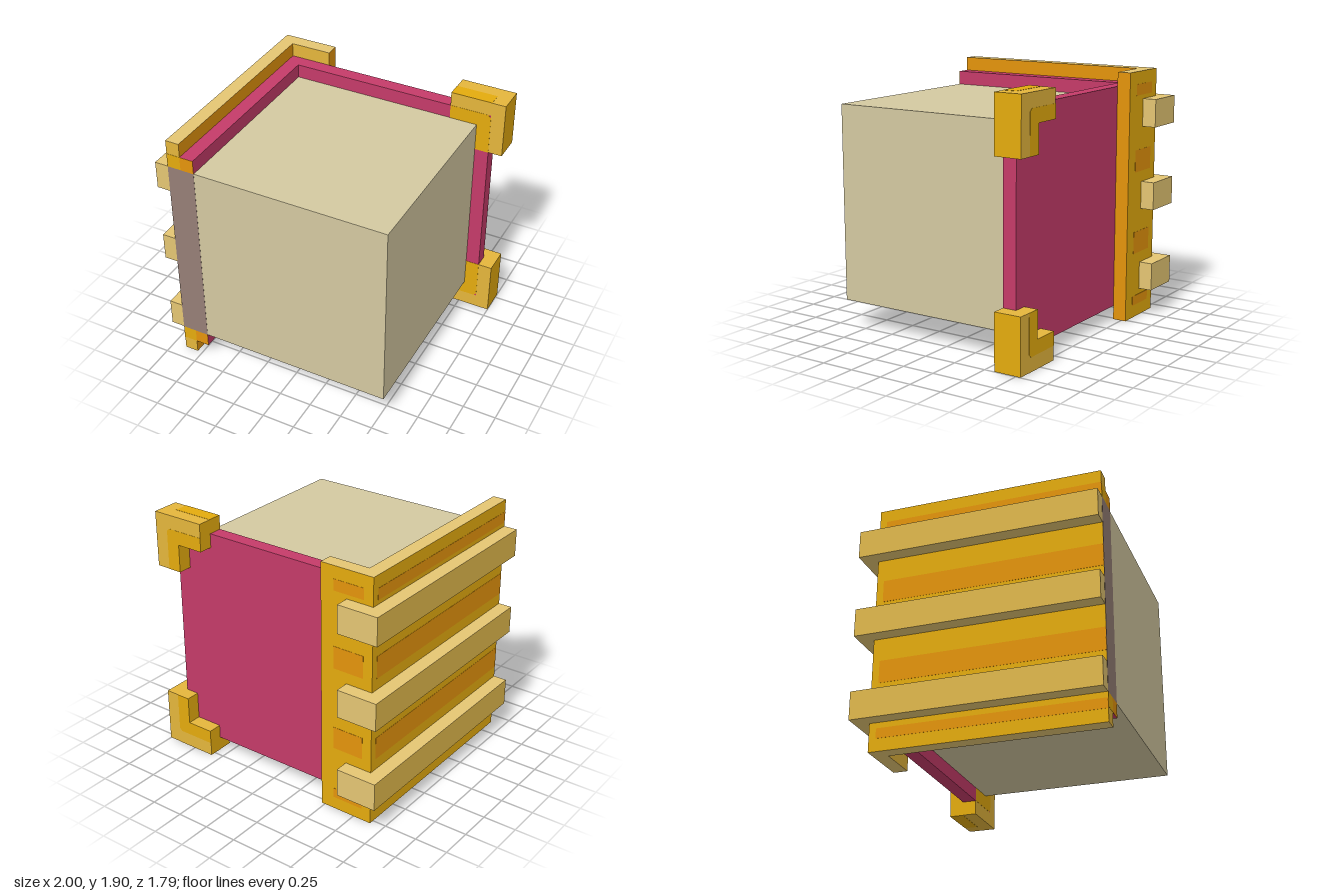
import * as THREE from 'three';

const U = 2 / 19; // one grid unit of the blocky design
const mat = (name, color) => Object.assign(new THREE.MeshStandardMaterial({ color }), { name });

export function createModel() {
  const pages = mat('pages', 0xd4c9a1);
  const cover = mat('cover', 0xc53b69);
  const paleGold = mat('paleGold', 0xe5c673);
  const ribGold = mat('ribGold', 0xe0b84c);
  const gold = mat('gold', 0xe5b63c);
  const deepGold = mat('deepGold', 0xe4ab0e);
  const orange = mat('orange', 0xe4940c);
  const endGrey = mat('endGrey', 0x967f76);

  const root = new THREE.Group();
  root.name = 'book';

  // Box between two corners; x and z in units from the centre, y from the floor
  const box = (name, material, [x0, x1], [y0, y1], [z0, z1], parent = root) => {
    const mesh = new THREE.Mesh(
      new THREE.BoxGeometry((x1 - x0) * U, (y1 - y0) * U, (z1 - z0) * U), material);
    mesh.position.set((x0 + x1) / 2 * U, (y0 + y1) / 2 * U, (z0 + z1) / 2 * U);
    mesh.name = name;
    parent.add(mesh);
  };

  // Page block and the two cover boards
  box('pageBlock', pages, [-6.5, 7.5], [2, 16], [-5.5, 8.5]);
  box('backCover', cover, [-7.5, 8.5], [1, 17], [-6.5, -5.5]);
  box('spineCover', cover, [-7.5, -6.5], [1, 17], [-5.5, 8.5]);

  // Metal spine with its return along the back
  box('spinePlate', [orange, deepGold, paleGold, paleGold, gold, deepGold],
    [-8.5, -7.5], [0, 18], [-7.5, 8.5]);
  box('spineReturn', [orange, gold, paleGold, paleGold, gold, deepGold],
    [-7.5, -4.5], [0, 18], [-7.5, -6.5]);

  // Front ends of the spine and cover
  const T = 0.015;
  box('spineEnd', endGrey, [-8.5, -6.5], [2, 16], [8.5, 8.5 + T]);
  for (const y of [1, 16]) {
    box('coverEnd', orange, [-7.5, -6.5], [y, y + 1], [8.5, 8.5 + T]);
    box('plateEnd', deepGold, [-8.5, -7.5], [y, y + 1], [8.5, 8.5 + T]);
  }

  // Raised ribs wrapping round the spine
  const ribFaces = [paleGold, ribGold, paleGold, paleGold, paleGold, paleGold];
  for (const y of [2, 8, 14]) {
    box('spineRib', ribFaces, [-9.5, -8.5], [y, y + 2], [-8.5, 8.5]);
    box('ribReturn', paleGold, [-8.5, -6.5], [y, y + 2], [-8.5, -7.5]);
  }

  // Tarnished bands between the ribs
  for (const [y0, y1] of [[0.9, 1.6], [4.8, 6.4], [10.8, 12.4], [16.3, 17.1]]) {
    box('spineBand', orange, [-8.5 - T, -8.5], [y0, y1], [-7, 8.5]);
    box('returnBand', orange, [-7.8, -5.5], [y0, y1], [-7.5 - T, -7.5]);
  }

  // L-shaped corner guards with a darker inlay, mirrored top and bottom
  const inlay = new THREE.Shape(
    [[5.5, 7], [7.5, 7], [7.5, 5], [8.5, 5], [8.5, 7.8], [8.3, 8], [5.5, 8]]
      .map(([x, y]) => new THREE.Vector2(x * U, y * U)));
  const inlayGeo = new THREE.ExtrudeGeometry(inlay, { depth: T * U, bevelEnabled: false });
  const guardFaces = [deepGold, deepGold, gold, gold, gold, gold];
  for (const top of [true, false]) {
    const corner = new THREE.Group();
    corner.name = top ? 'upperCorner' : 'lowerCorner';
    box('guardUpright', guardFaces, [7.5, 9.5], [5, 9], [-7.5, -5.5], corner);
    box('guardArm', guardFaces, [5.5, 7.5], [7, 9], [-7.5, -5.5], corner);
    for (const z of [-5.5, -7.5 - T]) {
      const mesh = new THREE.Mesh(inlayGeo, deepGold);
      mesh.name = 'cornerInlay';
      mesh.position.z = z * U;
      corner.add(mesh);
    }
    box('capInlay', deepGold, [5.5, 8.5], [9, 9 + T], [-6.5, -5.5], corner);
    // half-turn about x, then shift back to the same depth
    if (!top) {
      corner.rotation.x = Math.PI;
      corner.position.z = -13 * U;
    }
    corner.position.y = 9 * U;
    root.add(corner);
  }
  return root;
}
